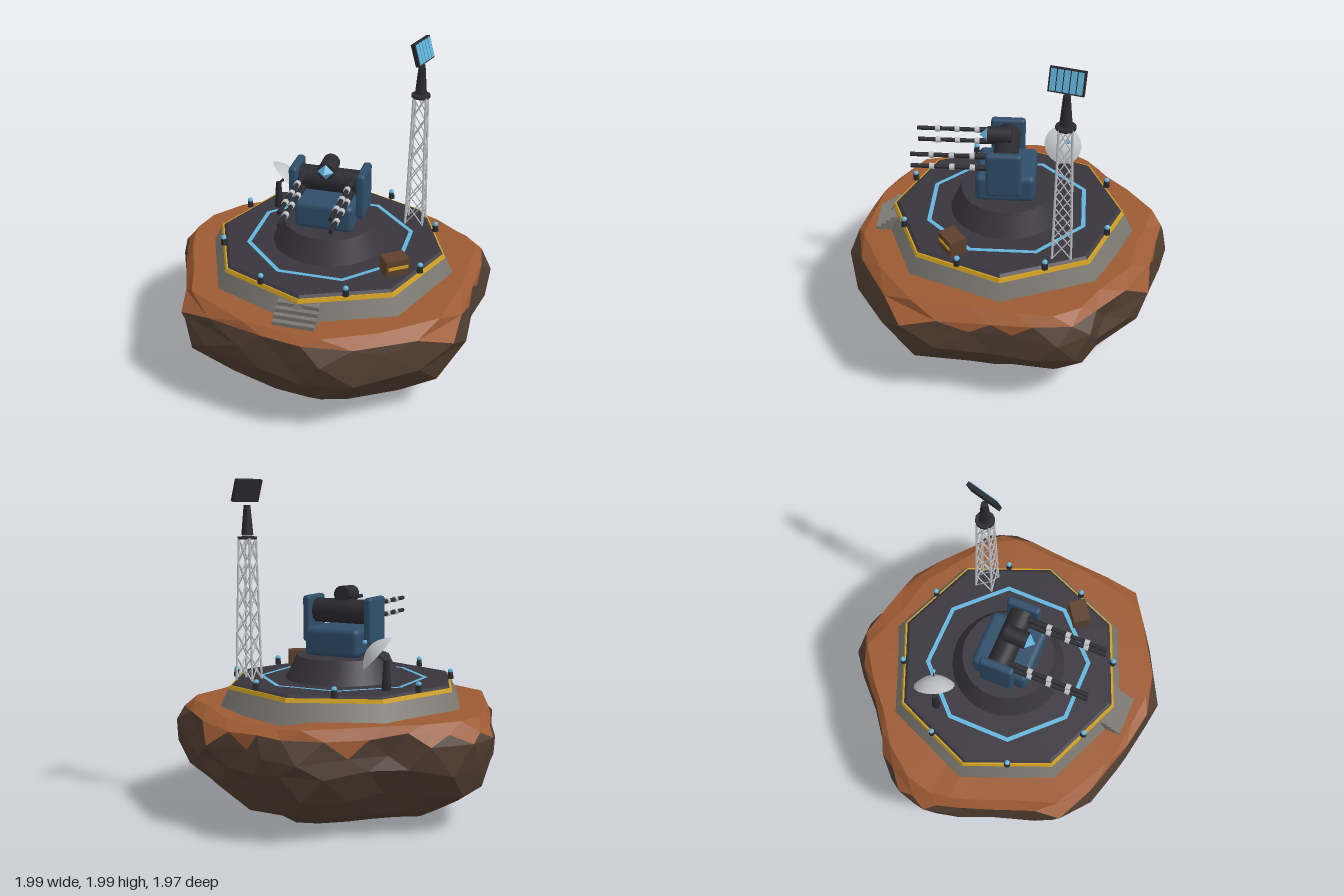
import * as THREE from 'three';
import { toCreasedNormals } from 'three/addons/utils/BufferGeometryUtils.js';
import { RoundedBoxGeometry } from 'three/addons/geometries/RoundedBoxGeometry.js';

const V = (x, y, z) => new THREE.Vector3(x, y, z);
const material = (name, color, extra = {}) => {
  const m = new THREE.MeshStandardMaterial({ color, ...extra });
  m.name = name;
  return m;
};

export function createModel() {
  const rust = material('rust soil', 0x9c5a33, { flatShading: true });
  const rock = material('brown rock', 0x4f3d30, { flatShading: true });
  const concrete = material('concrete', 0x7a776f);
  const deck = material('charcoal', 0x38353d);
  const gun = material('gunmetal', 0x2a2a30);
  const blue = material('steel blue', 0x2f4d69);
  const cyan = material('cyan', 0x62b4dc);
  const yellow = material('hazard yellow', 0xd0a01f);
  const light = material('light grey', 0xc0c3c6, { side: THREE.DoubleSide });
  const crateBrown = material('crate brown', 0x5c402c);

  const root = new THREE.Group();
  root.name = 'rockTurretBase';
  const base = new THREE.Group(); // everything standing on the rock
  base.name = 'outpost';
  base.position.set(0.028, 0, 0.003);
  root.add(base);

  const add = (parent, name, geo, mat, x = 0, y = 0, z = 0) => {
    const m = new THREE.Mesh(geo, mat);
    m.name = name;
    m.position.set(x, y, z);
    parent.add(m);
    return m;
  };
  const box = (w, h, d) => new THREE.BoxGeometry(w, h, d);
  const cyl = (rt, rb, h, n = 16) =>
    toCreasedNormals(new THREE.CylinderGeometry(rt, rb, h, n), n > 8 ? 0.6 : 0.3);
  const strut = (parent, name, a, b, r, mat, n = 6) => {
    const m = add(parent, name, new THREE.CylinderGeometry(r, r, a.distanceTo(b), n), mat);
    m.position.copy(a).lerp(b, 0.5);
    m.quaternion.setFromUnitVectors(V(0, 1, 0), b.clone().sub(a).normalize());
    return m;
  };

  // Boulder: stacked irregular rings following a lobed outline (degrees, radius)
  const outline = [[-180, 0.96], [-172, 1.01], [-161, 1.0], [-146, 0.93], [-132, 0.84], [-117, 0.89],
    [-101, 1.01], [-89, 0.99], [-80, 0.92], [-62, 0.98], [-41, 0.91], [-30, 1.045], [-19, 1.055], [-5, 0.95],
    [10, 0.945], [32, 1.07], [55, 0.97], [77, 1.0], [90, 0.92], [108, 0.93], [137, 0.98], [154, 0.87],
    [172, 0.905], [180, 0.96]];
  const N = outline.length - 1;
  let seed = 7;
  const rand = () => (seed = (seed * 16807) % 2147483647) / 2147483647 - 0.5;
  // scale, height, height jitter, radial jitter, strength of the lobes
  const levels = [[0.92, 0.648, 0.008, 0.01, 0.65], [0.97, 0.597, 0.04, 0.015, 0.85], [1, 0.505, 0.07, 0.01, 1],
    [0.995, 0.39, 0.06, 0.03, 1], [0.92, 0.25, 0.06, 0.05, 0.9], [0.79, 0.125, 0.05, 0.05, 0.85],
    [0.62, 0.042, 0.02, 0.05, 0.8], [0.4, 0, 0, 0.05, 0.6]];
  const rings = levels.map(([s, y, jy, jr, lobe], k) => Array.from({ length: N }, (_, i) => {
    const mix = (k % 2) / 2; // odd rings sit between the outline points
    const deg = THREE.MathUtils.lerp(outline[i][0], outline[i + 1][0], mix);
    const edge = THREE.MathUtils.lerp(outline[i][1], outline[i + 1][1], mix);
    const t = THREE.MathUtils.degToRad(deg);
    const r = Math.max(THREE.MathUtils.lerp(0.97, edge, lobe) * (s + rand() * jr), k === 0 ? 0.8 : 0);
    return V(r * Math.cos(t), y + rand() * jy, r * Math.sin(t));
  }));
  // the rim dips at the back
  for (const i of [7, 8, 9]) rings[0][i].set(rings[0][i].x * 0.94, 0.625, rings[0][i].z * 0.94);
  const soilFaces = [], rockFaces = [];
  for (let i = 0; i < N; i++) {
    const j = (i + 1) % N;
    soilFaces.push(V(0, 0.65, 0), rings[0][j], rings[0][i]);
    for (let k = 0; k < rings.length - 1; k++) {
      const [a, b] = [rings[k], rings[k + 1]];
      const out = k === 0 ? soilFaces : rockFaces;
      if (k % 2 === 0) out.push(a[i], a[j], b[i], a[j], b[j], b[i]);
      else {
        out.push(a[i], b[j], b[i]);
        const drip = k === 1 && rand() > 0; // soil running down between rocks
        (drip ? soilFaces : out).push(a[i], a[j], b[j]);
      }
    }
    const last = rings[rings.length - 1];
    rockFaces.push(V(0, 0, 0), last[i], last[j]);
  }
  for (const [name, faces, mat] of [['soilCap', soilFaces, rust], ['boulder', rockFaces, rock]]) {
    const g = new THREE.BufferGeometry().setFromPoints(faces);
    g.computeVertexNormals();
    add(root, name, g, mat);
  }

  // Octagonal platform
  add(base, 'foundation', new THREE.CylinderGeometry(0.72, 0.785, 0.13, 8), concrete, 0, 0.682, 0);
  add(base, 'hazardBand', cyl(0.71, 0.72, 0.026, 8), yellow, 0, 0.757, 0);
  add(base, 'deck', cyl(0.682, 0.706, 0.018, 8), deck, 0, 0.775, 0);
  const ring = new THREE.RingGeometry(0.492, 0.52, 8, 1, Math.PI / 8).rotateX(-Math.PI / 2);
  add(base, 'deckLine', ring, cyan, 0, 0.787, 0);
  for (let i = 0; i < 4; i++) { // front stairs
    const h = 0.025 + i * 0.024, d = 0.14 - i * 0.032;
    add(base, 'step', box(0.25, h, d), concrete, 0, 0.645 + h / 2, 0.675 + d / 2);
  }
  for (let i = 0; i < 8; i++) { // edge lights
    const t = (i + 0.5) * Math.PI / 4, x = 0.66 * Math.cos(t), z = 0.66 * Math.sin(t);
    add(base, 'lightPost', cyl(0.016, 0.02, 0.045, 8), gun, x, 0.802, z);
    add(base, 'lightBulb', new THREE.SphereGeometry(0.017, 10, 8), cyan, x, 0.826, z);
  }

  // Turret
  const turret = new THREE.Group();
  turret.name = 'turret';
  base.add(turret);
  add(turret, 'pedestal', cyl(0.285, 0.355, 0.145, 32), deck, 0, 0.852, 0);
  add(turret, 'turretBody', new RoundedBoxGeometry(0.36, 0.175, 0.36, 2, 0.035), blue, 0, 1.015, 0.008);
  add(turret, 'gunDrum', cyl(0.075, 0.075, 0.38, 20), gun, 0, 1.19, 0.01).rotation.z = Math.PI / 2;
  for (const s of [-1, 1]) {
    add(turret, 'sideArmour', new RoundedBoxGeometry(0.053, 0.285, 0.212, 2, 0.02), blue, s * 0.207, 1.143, 0.012);
    for (const y of [1.15, 1.23]) {
      const x = s * 0.15;
      const rod = (name, z0, z1, r, mat) => strut(turret, name, V(x, y, z0), V(x, y, z1), r, mat, 12);
      rod('barrelSleeve', 0.02, 0.2, 0.018, gun);
      rod('barrel', 0.15, 0.567, 0.013, gun);
      for (const z of [0.2, 0.322, 0.442]) rod('barrelCollar', z - 0.015, z + 0.015, 0.019, light);
    }
  }
  const housing = add(turret, 'sensorHousing', cyl(0.052, 0.052, 0.14, 16), gun, 0, 1.292, 0.05);
  housing.rotation.x = Math.PI / 2 + 0.035;
  add(turret, 'sensorLens', new THREE.OctahedronGeometry(0.05), cyan, 0, 1.29, 0.12);

  // Lattice mast
  const mast = new THREE.Group();
  mast.name = 'mast';
  mast.position.set(0.464, 0, -0.345);
  base.add(mast);
  const bays = 6;
  const corner = (i, level) => {
    const w = THREE.MathUtils.lerp(0.055, 0.037, level / bays);
    return V([w, -w, -w, w][i % 4], 0.785 + level * 0.855 / bays, [w, w, -w, -w][i % 4]);
  };
  for (let i = 0; i < 4; i++) {
    strut(mast, 'mastLeg', corner(i, 0), corner(i, bays), 0.007, light, 8);
    for (let l = 0; l < bays; l++) {
      strut(mast, 'mastBrace', corner(i, l), corner(i + 1, l + 1), 0.004, light);
      strut(mast, 'mastBrace', corner(i + 1, l), corner(i, l + 1), 0.004, light);
    }
  }
  add(mast, 'mastCap', cyl(0.058, 0.058, 0.016, 12), gun, 0, 1.64, 0);
  add(mast, 'mastHead', cyl(0.02, 0.036, 0.178, 12), gun, 0, 1.745, 0);
  const panel = new THREE.Group();
  panel.name = 'solarPanel';
  panel.position.set(0, 1.92, 0);
  panel.rotation.set(-0.3, Math.PI / 2 - 0.27, 0, 'YXZ');
  mast.add(panel);
  add(panel, 'panelFrame', box(0.2, 0.136, 0.025), gun);
  for (let i = 0; i < 5; i++) add(panel, 'panelCell', box(0.031, 0.12, 0.006), cyan, (i - 2) * 0.0375, 0, 0.014);

  // Dish antenna, its domed side turned up and outward over the mount
  const dishAxis = V(0.65, 0.65, -0.3).normalize();
  const dishCentre = V(-0.376, 1.005, -0.328);
  const along = (d) => dishCentre.clone().addScaledVector(dishAxis, d);
  add(base, 'dishPost', cyl(0.017, 0.028, 0.175, 10), gun, -0.431, 0.87, -0.302);
  strut(base, 'dishMount', V(-0.431, 0.945, -0.302), along(0.03), 0.009, gun, 8);
  const dome = [0.124, 0.114, 0.092, 0.064, 0.033, 0].map((r) => new THREE.Vector2(r, 0.05 - r * r * 4));
  const dish = add(base, 'dish', new THREE.LatheGeometry(dome, 24), light);
  dish.position.copy(dishCentre);
  dish.quaternion.setFromUnitVectors(V(0, 1, 0), dishAxis);
  strut(base, 'dishFeedRod', along(0.03), along(0.08), 0.005, gun);
  add(base, 'dishFeed', new THREE.SphereGeometry(0.014, 10, 8), cyan).position.copy(along(0.085));

  // Supply crate
  const crate = new THREE.Group();
  crate.name = 'crate';
  crate.position.set(0.465, 0.835, 0.293);
  crate.rotation.y = 0.62;
  base.add(crate);
  add(crate, 'crateBox', box(0.145, 0.1, 0.107), crateBrown);
  add(crate, 'crateStripe', box(0.125, 0.02, 0.006), yellow, 0, 0.003, 0.054);

  return root;
}
